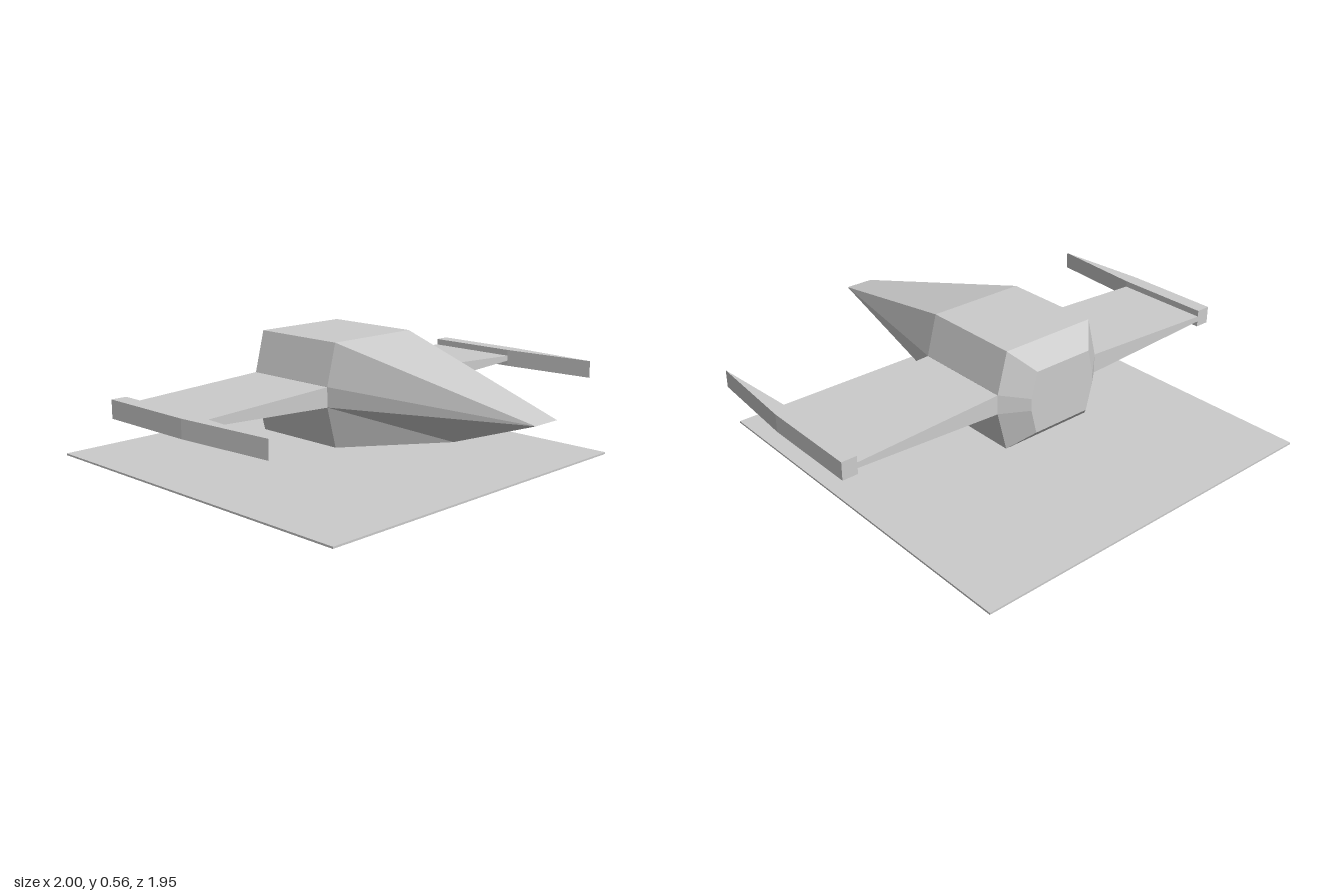
import * as THREE from 'three';

const material = new THREE.MeshStandardMaterial({ color: 0xcccccc, flatShading: true, side: THREE.DoubleSide });

function addMesh(parent, name, geometry) {
  const mesh = new THREE.Mesh(geometry, material);
  mesh.name = name;
  parent.add(mesh);
  return mesh;
}

// Flat polygons, each fanned into triangles from its first corner
function facesGeometry(faces) {
  const points = [];
  for (const f of faces) {
    for (let i = 1; i < f.length - 1; i++) points.push(...f[0], ...f[i], ...f[i + 1]);
  }
  const geometry = new THREE.BufferGeometry();
  geometry.setAttribute('position', new THREE.Float32BufferAttribute(points, 3));
  geometry.computeVertexNormals();
  return geometry;
}

// Eight-cornered hull section, scaled about the hull axis
function hullRing(z, scale) {
  const axisY = 0.337;
  const half = [[0.222, 0.117], [0.268, 0.295], [0.268, 0.38], [0.222, 0.557]];
  const ring = [...half, ...half.map(([x, y]) => [-x, y]).reverse()];
  return ring.map(([x, y]) => [x * scale, axisY + (y - axisY) * scale, z]);
}

const mirror = (p) => [-p[0], p[1], p[2]];

function hullGeometry() {
  const front = hullRing(0.085, 1);
  const back = hullRing(-0.358, 1);
  const tail = hullRing(-0.445, 0.625);
  const faces = [[...tail].reverse()];

  // Straight body and chamfered tail
  for (const [a, b] of [[front, back], [back, tail]]) {
    for (let i = 0; i < 8; i++) {
      const j = (i + 1) % 8;
      faces.push([a[i], b[i], b[j], a[j]]);
    }
  }

  // Wedge nose with a pointed chin
  const [bottom, lower, upper, top] = front;
  const tip = [0.067, 0.337, 0.972];
  const chin = [0, 0.182, 0.53];
  faces.push([top, mirror(top), mirror(tip), tip]);
  faces.push([chin, tip, mirror(tip)]);
  faces.push([chin, mirror(bottom), bottom]);
  const sideFaces = [[tip, upper, top], [tip, lower, upper], [tip, chin, lower], [chin, bottom, lower]];
  for (const f of sideFaces) faces.push(f, f.map(mirror).reverse());
  return facesGeometry(faces);
}

// Wing slab that thins toward its tip
function wingGeometry(side) {
  const root = 0.268, end = 0.935;
  const geometry = new THREE.BoxGeometry(end - root, 1, 0.443);
  geometry.translate(side * (root + end) / 2, 0, -0.1365);
  const p = geometry.attributes.position;
  for (let i = 0; i < p.count; i++) {
    const t = (Math.abs(p.getX(i)) - root) / (end - root);
    p.setY(i, 0.337 + p.getY(i) * THREE.MathUtils.lerp(0.085, 0.024, t));
  }
  geometry.computeVertexNormals();
  return geometry;
}

// Wing-tip bar with a blade-like front, drawn in plan and extruded upward
function tipBarGeometry() {
  const w = 0.0335;
  const shape = new THREE.Shape([[-w, -0.085], [0, -0.525], [w, -0.085], [w, 0.358], [-w, 0.358]]
    .map(([x, y]) => new THREE.Vector2(x, y)));
  const geometry = new THREE.ExtrudeGeometry(shape, { depth: 0.077, bevelEnabled: false });
  return geometry.rotateX(-Math.PI / 2);
}

export function createModel() {
  const model = new THREE.Group();
  model.name = 'spacecraft';

  addMesh(model, 'hull', hullGeometry());

  for (const [label, side] of [['left', 1], ['right', -1]]) {
    addMesh(model, label + 'Wing', wingGeometry(side));
    addMesh(model, label + 'TipBar', tipBarGeometry()).position.set(side * 0.9665, 0.3, 0);
  }

  // Thin ground plate
  addMesh(model, 'groundPlate', new THREE.BoxGeometry(1.684, 0.008, 1.684)).position.set(0, 0.004, -0.137);

  return model;
}
